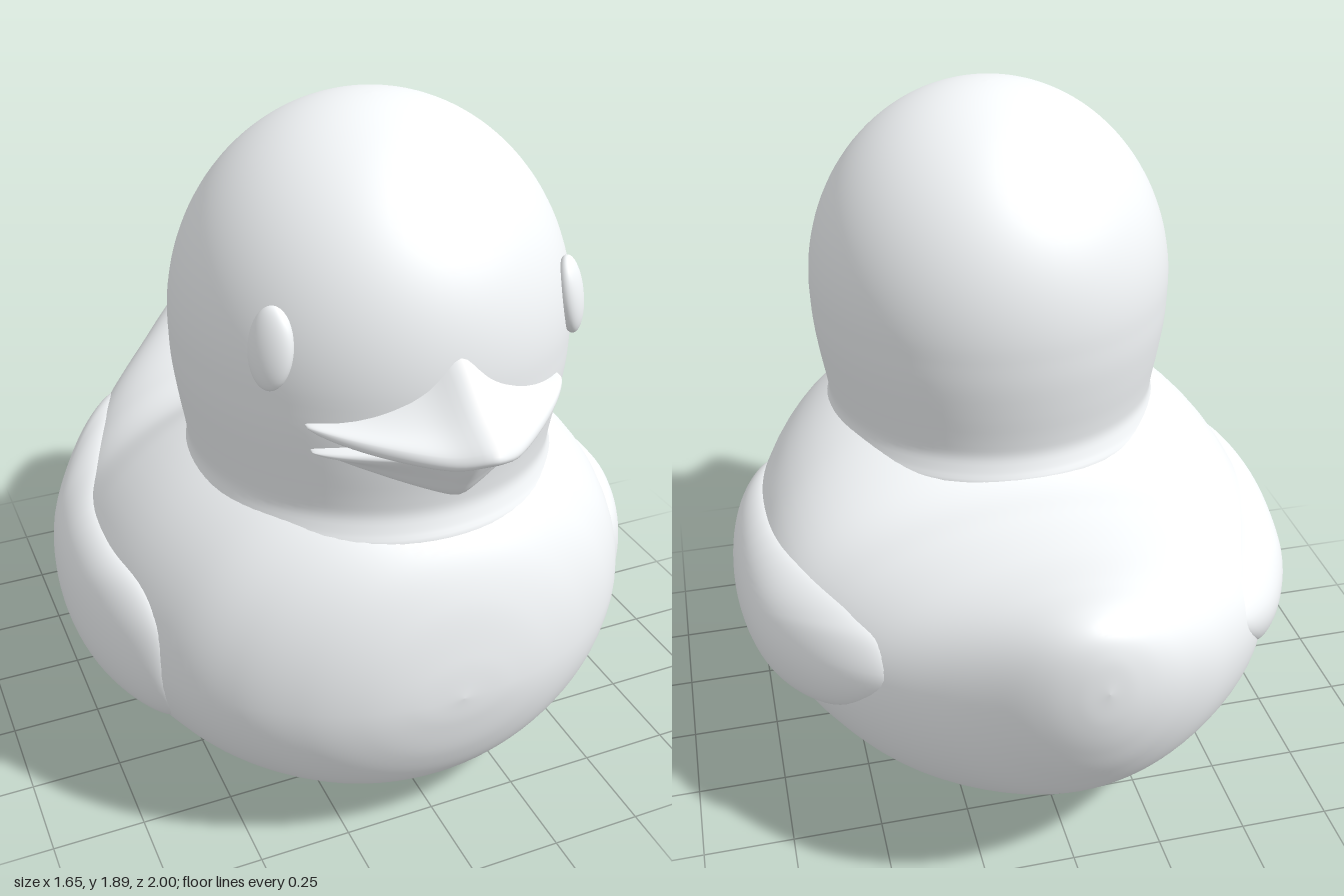
import * as THREE from 'three';

const material = new THREE.MeshStandardMaterial({ color: 0xf7fafc });

// Smooth surface through rows of points; each row is a closed loop
function loft(rows) {
  const n = rows[0].length, index = [];
  for (let i = 0; i < rows.length - 1; i++) {
    for (let j = 0; j < n; j++) {
      const k = (j + 1) % n;
      const a = i * n + j, b = i * n + k, c = a + n, d = b + n;
      index.push(a, c, b, b, c, d);
    }
  }
  const geometry = new THREE.BufferGeometry();
  geometry.setAttribute('position', new THREE.Float32BufferAttribute(rows.flat(2), 3));
  geometry.setIndex(index);
  geometry.computeVertexNormals();
  return geometry;
}

function part(name, geometry) {
  const mesh = new THREE.Mesh(geometry, material);
  mesh.name = name;
  return mesh;
}

// Body sections, chest to tail: z, bottom, top, height of widest point, half width
const bodyRows = [
  [0.90, 0.50, 0.50, 0.50, 0], [0.89, 0.41, 0.62, 0.50, 0.14], [0.86, 0.29, 0.77, 0.50, 0.27],
  [0.80, 0.175, 0.90, 0.50, 0.405], [0.70, 0.09, 1.00, 0.50, 0.545], [0.55, 0.04, 1.08, 0.50, 0.665],
  [0.30, 0.005, 1.11, 0.50, 0.75], [0.05, 0, 1.06, 0.50, 0.77], [-0.20, 0.012, 0.93, 0.51, 0.735],
  [-0.40, 0.055, 0.92, 0.53, 0.66], [-0.60, 0.14, 0.935, 0.57, 0.55], [-0.78, 0.28, 0.965, 0.63, 0.385],
  [-0.90, 0.45, 0.98, 0.72, 0.245], [-0.96, 0.58, 0.96, 0.77, 0.155], [-0.99, 0.69, 0.90, 0.79, 0.075],
  [-1.00, 0.80, 0.80, 0.80, 0],
];
const spline = (pick) => new THREE.CatmullRomCurve3(
  bodyRows.map((r) => new THREE.Vector3(...pick(r))), false, 'catmullrom', 0.5);
const heights = spline((r) => [r[0], r[1], r[2]]);
const widths = spline((r) => [r[0], r[3], r[4]]);

function section(t) {
  const h = heights.getPoint(t), w = widths.getPoint(t);
  return { z: h.x, bottom: h.y, top: h.z, mid: w.y, half: w.z };
}

function bodyGeometry() {
  const rows = [];
  for (let i = 0; i <= 120; i++) {
    const s = section(i / 120), row = [];
    for (let j = 0; j < 72; j++) {
      const a = j / 72 * Math.PI * 2, sin = Math.sin(a);
      const reach = sin > 0 ? s.top - s.mid : s.mid - s.bottom;
      row.push([s.half * Math.cos(a), s.mid + reach * sin, s.z]);
    }
    rows.push(row);
  }
  return loft(rows);
}

// Half width of the body at a given height and depth
function bodyX(y, z) {
  let lo = 0, hi = 1;
  for (let i = 0; i < 30; i++) {
    const t = (lo + hi) / 2;
    if (section(t).z > z) lo = t; else hi = t;
  }
  const s = section(lo);
  const k = (y - s.mid) / (y > s.mid ? s.top - s.mid : s.mid - s.bottom);
  return s.half * Math.sqrt(Math.max(0, 1 - k * k));
}

// Wing: a cushion swelling out of the body inside a closed outline (z, y)
function wingGeometry(side) {
  const outline = new THREE.CatmullRomCurve3([
    [0.525, 0.50], [0.50, 0.35], [0.39, 0.275], [0.15, 0.245], [-0.12, 0.29], [-0.40, 0.40], [-0.59, 0.54],
    [-0.665, 0.66], [-0.61, 0.73], [-0.48, 0.735], [-0.20, 0.712], [0.20, 0.715], [0.40, 0.70], [0.495, 0.63],
  ].map(([z, y]) => new THREE.Vector3(0, y, z)), true, 'centripetal').getPoints(80).slice(0, 80);
  const rows = [];
  for (let i = 0; i <= 20; i++) {
    const r = Math.sin(i / 20 * Math.PI / 2);
    const row = outline.map((p) => {
      const y = 0.5 + (p.y - 0.5) * r, z = 0.02 + (p.z - 0.02) * r;
      const swell = 0.065 * Math.sqrt(Math.max(0, 1 - r ** 4)) - 0.01;
      return [side * (bodyX(y, z) + swell), y, z];
    });
    rows.push(side > 0 ? row : row.reverse());
  }
  return loft(rows);
}

// Head and neck, flaring softly into the body
function headGeometry() {
  const neck = new THREE.CatmullRomCurve3([
    [0.48, 0.86], [0.508, 0.91], [0.496, 0.945], [0.485, 0.985], [0.489, 1.03], [0.504, 1.12], [0.517, 1.22], [0.521, 1.32],
  ].map(([x, y]) => new THREE.Vector3(x, y, 0))).getPoints(28);
  const points = neck.map((p) => new THREE.Vector2(p.x, p.y));
  for (let i = 1; i <= 32; i++) {
    const a = i / 32 * Math.PI / 2;
    points.push(new THREE.Vector2(Math.max(0, 0.521 * Math.cos(a)), 1.32 + 0.57 * Math.sin(a)));
  }
  return new THREE.LatheGeometry(points, 80);
}

// Bill half: sections swept from corner to corner; profile gives a loop of (z, y)
function billGeometry(halfWidth, profile) {
  const rows = [];
  for (let i = 0; i <= 64; i++) {
    const s = Math.sin((i / 32 - 1) * Math.PI / 2), x = halfWidth * s;
    const a = Math.sqrt(s * s * 0.997 + 0.003); // rounds the centre line
    const root = 0.24 + Math.sqrt(0.52 ** 2 - x * x);
    const loop = profile(a, root, Math.sqrt(1 - s * s)).map(([z, y]) => new THREE.Vector3(x, y, z));
    const curve = new THREE.CatmullRomCurve3(loop, true, 'centripetal');
    rows.push(curve.getPoints(48).slice(0, 48).map((p) => p.toArray()));
  }
  return loft(rows);
}

function upperBill(a, root, fade) {
  const out = 0.69 + 0.322 * (1 - a) ** 0.75;
  const rim = 1.222 + 0.03 * Math.exp(-((a / 0.17) ** 2)) + 0.025 * a * a;
  const ridge = rim + 0.026 * fade + 0.165 * (1 - a) ** 1.45;
  const at = (f) => root + (out - root) * f;
  return [
    [root, rim - 0.024 * fade], [at(0.85), rim - 0.024 * fade], [at(0.97), rim - 0.014 * fade], [out, rim],
    [at(0.95), rim + 0.02 * fade], [at(0.6), rim + 0.022 * fade + (ridge - rim) * 0.28],
    [at(0.2), rim + (ridge - rim) * 0.85], [root, ridge],
  ];
}

function lowerBill(a, root, fade) {
  const out = 0.69 + 0.23 * (1 - a) ** 0.75;
  const rim = 1.178 + 0.03 * (1 - a);
  const keel = rim - 0.01 * fade - 0.15 * (1 - a) ** 1.1;
  const at = (f) => root + (out - root) * f;
  return [
    [root, keel], [at(0.35), keel], [at(0.65), rim + (keel - rim) * 0.6], [at(0.95), rim - 0.015 * fade],
    [out, rim], [at(0.9), rim + 0.012 * fade], [root, rim + 0.012 * fade],
  ];
}

export function createModel() {
  const model = new THREE.Group();
  model.name = 'bathDuck';

  const head = part('head', headGeometry());
  head.position.z = 0.28;
  model.add(part('body', bodyGeometry()), head);
  model.add(part('upperBill', billGeometry(0.338, upperBill)));
  model.add(part('lowerBill', billGeometry(0.325, lowerBill)));

  for (const side of [1, -1]) {
    const label = side > 0 ? 'left' : 'right';
    model.add(part(label + 'Wing', wingGeometry(side)));

    // Flattened oval eye, facing outward and leaning with the head
    const eye = part(label + 'Eye', new THREE.SphereGeometry(1, 32, 20));
    eye.scale.set(0.058, 0.102, 0.033);
    eye.position.set(side * 0.395, 1.427, 0.612);
    eye.rotation.set(-0.17, side * 0.87, 0, 'YXZ');
    model.add(eye);
  }
  return model;
}
